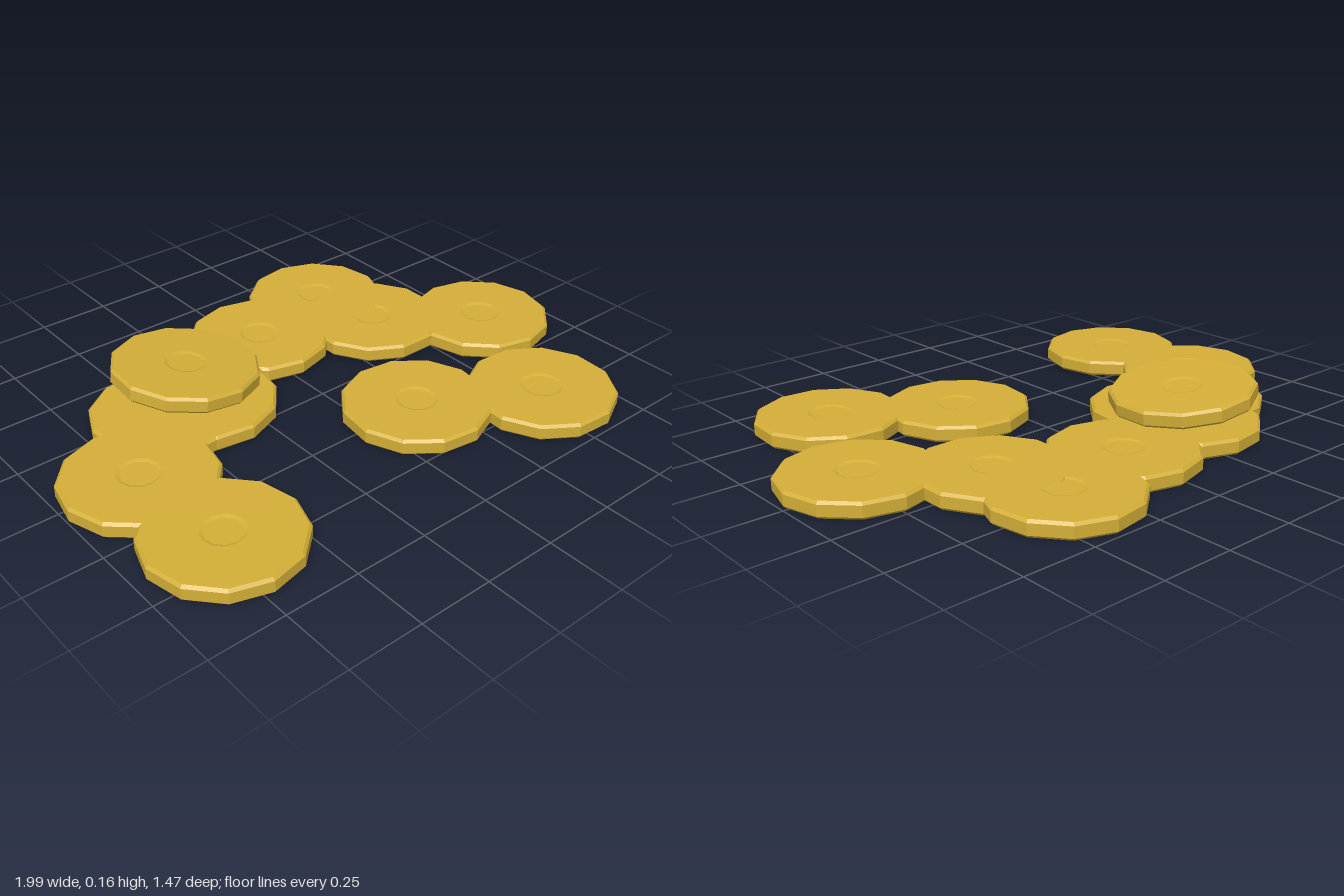
import * as THREE from 'three';

const SIDES = 12, R = 0.25, H = 0.055, BEVEL = 0.009, DISH = 0.072, DEPTH = 0.004;

// Coin profile: bevelled rim and a shallow dish in both faces
function coinGeometry() {
  const half = [
    [R, H / 2 - BEVEL], [R - BEVEL, H / 2], [DISH, H / 2], [DISH - 0.012, H / 2 - DEPTH], [0, H / 2 - DEPTH],
  ];
  const upper = half.map(([r, y]) => new THREE.Vector2(r, y));
  const lower = half.map(([r, y]) => new THREE.Vector2(r, -y)).reverse();
  return new THREE.LatheGeometry([...lower, ...upper], SIDES);
}

// Coins lying flat: x, z, turn in degrees
const FLAT = [
  [-0.71, 0.42, 3],
  [-0.748, 0.044, -3],
  [-0.495, -0.195, 10],
  [-0.311, -0.337, 6],
  [-0.362, -0.182, -6],
  [0.03, -0.387, 0],
  [0.375, -0.49, 6],
  [0.427, -0.23, 15],
  [0.743, 0.01, 0],
  [0.164, 0.28, -7],
  [0.54, 0.487, -11],
];

export function createModel() {
  const group = new THREE.Group();
  group.name = 'scatteredCoins';
  const gold = new THREE.MeshStandardMaterial({ color: 0xd4af37, flatShading: true });
  const geometry = coinGeometry();
  const rad = THREE.MathUtils.degToRad;

  const addCoin = (name, x, y, z, turn, tiltX = 0, tiltZ = 0) => {
    const coin = new THREE.Mesh(geometry, gold);
    coin.name = name;
    coin.position.set(x, y, z);
    coin.rotation.set(rad(tiltX), rad(-turn), rad(tiltZ), 'XZY');
    group.add(coin);
  };

  FLAT.forEach(([x, z, turn], i) => addCoin(`flatCoin${i + 1}`, x, H / 2, z, turn));

  // One coin resting tilted above the others
  addCoin('tiltedCoin', -0.361, 0.112, -0.275, 18, 1.3, -6);

  return group;
}
